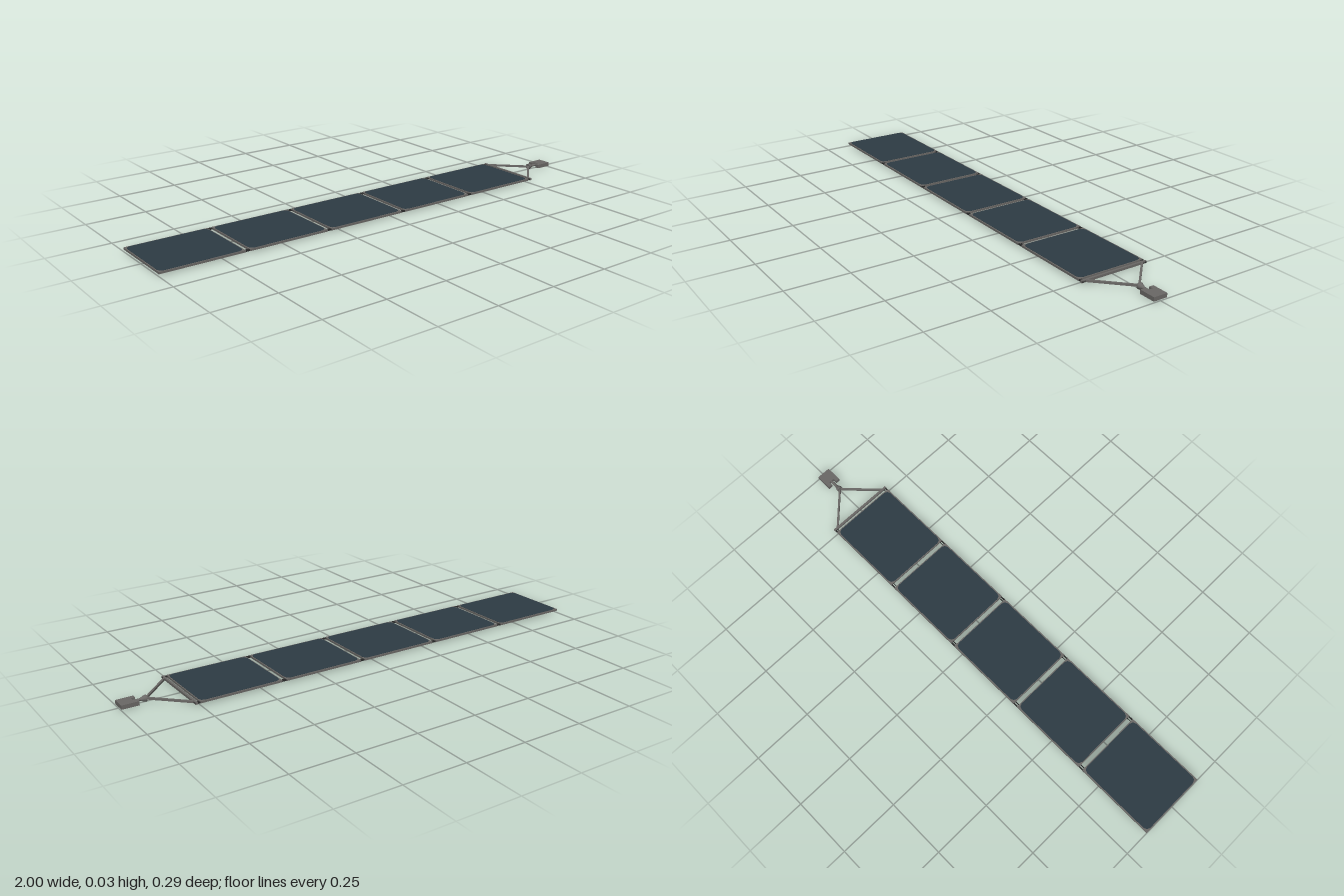
import * as THREE from 'three';

const MID = 0.0134; // height of the wing's centre plane
const PITCH = 0.354, PANEL_LENGTH = 0.336, HALF_WIDTH = 0.144;

const material = (name, color) => new THREE.MeshStandardMaterial({ name, color });

export function createModel() {
  const grey = material('frameGrey', 0x6a6866);
  const dark = material('hingeDark', 0x2a2a2a);
  const blue = material('cellBlue', 0x2e3c44);
  const model = new THREE.Group();
  model.name = 'solarWing';

  const add = (name, geometry, mat, x, y, z, parent = model) => {
    const mesh = new THREE.Mesh(geometry, mat);
    mesh.name = name;
    mesh.position.set(x, y, z);
    parent.add(mesh);
    return mesh;
  };
  const box = (name, sx, sy, sz, mat, x, y, z, parent) =>
    add(name, new THREE.BoxGeometry(sx, sy, sz), mat, x, y, z, parent);

  // Cell sheet: a thin plate with clipped corners
  const a = PANEL_LENGTH / 2 - 0.004, b = HALF_WIDTH - 0.005, c = 0.018;
  const outline = new THREE.Shape([
    [-a + c, -b], [a - c, -b], [a - c * 0.3, -b + c * 0.3], [a, -b + c],
    [a, b - c], [a - c * 0.3, b - c * 0.3], [a - c, b], [-a + c, b],
    [-a + c * 0.3, b - c * 0.3], [-a, b - c], [-a, -b + c], [-a + c * 0.3, -b + c * 0.3],
  ].map(([x, y]) => new THREE.Vector2(x, y)));
  const sheet = new THREE.ExtrudeGeometry(outline, { depth: 0.001, bevelEnabled: false });
  sheet.rotateX(-Math.PI / 2);

  // Five panels, each hinged at its inner edge
  for (let i = 0; i < 5; i++) {
    const panel = new THREE.Group();
    panel.name = 'panel' + (i + 1);
    panel.position.set(-1 + PANEL_LENGTH / 2 + i * PITCH, MID, 0);
    model.add(panel);
    box('panelBoard', PANEL_LENGTH, 0.008, HALF_WIDTH * 2, grey, 0, 0, 0, panel);
    add('cells', sheet, blue, 0, 0.004, 0, panel);
    for (const side of [-1, 1]) {
      box('hinge', 0.022, 0.006, 0.005, dark, PANEL_LENGTH / 2 + 0.009, 0, side * 0.141, panel);
      box('hingeInner', 0.022, 0.003, 0.003, dark, PANEL_LENGTH / 2 + 0.009, 0, side * 0.132, panel);
    }
  }

  // Yoke: cross bar and two converging struts
  box('yokeBar', 0.009, 0.009, 0.29, grey, 0.766, MID, 0);
  for (const side of [-1, 1]) {
    const from = new THREE.Vector3(0.766, MID, side * 0.128);
    const to = new THREE.Vector3(0.893, MID, side * 0.003);
    const strut = box('yokeStrut', 0.008, 0.008, from.distanceTo(to), grey, 0, 0, 0);
    strut.position.copy(from).add(to).multiplyScalar(0.5);
    strut.lookAt(to);
  }

  // Rotary joint, turned about the x axis
  const joint = new THREE.LatheGeometry([
    [0, -0.02], [0.0125, -0.02], [0.0125, -0.014], [0.005, 0.004], [0.005, 0.045], [0, 0.045],
  ].map(([r, y]) => new THREE.Vector2(r, y)), 20).toNonIndexed();
  joint.computeVertexNormals();
  joint.rotateZ(-Math.PI / 2);
  add('rotaryJoint', joint, grey, 0.915, MID, 0);

  // Mounting block with a slot for the joint
  const block = new THREE.Shape([
    [0.932, -0.029], [1, -0.029], [1, 0.029], [0.932, 0.029],
    [0.932, 0.011], [0.948, 0.011], [0.948, -0.011], [0.932, -0.011],
  ].map(([x, y]) => new THREE.Vector2(x, y)));
  const blockGeometry = new THREE.ExtrudeGeometry(block, { depth: 0.016, bevelEnabled: false });
  blockGeometry.rotateX(-Math.PI / 2);
  add('mountBlock', blockGeometry, grey, 0, MID - 0.008, 0);

  // Stand the lowest point on the ground
  model.position.y = -new THREE.Box3().setFromObject(model).min.y;
  return model;
}
